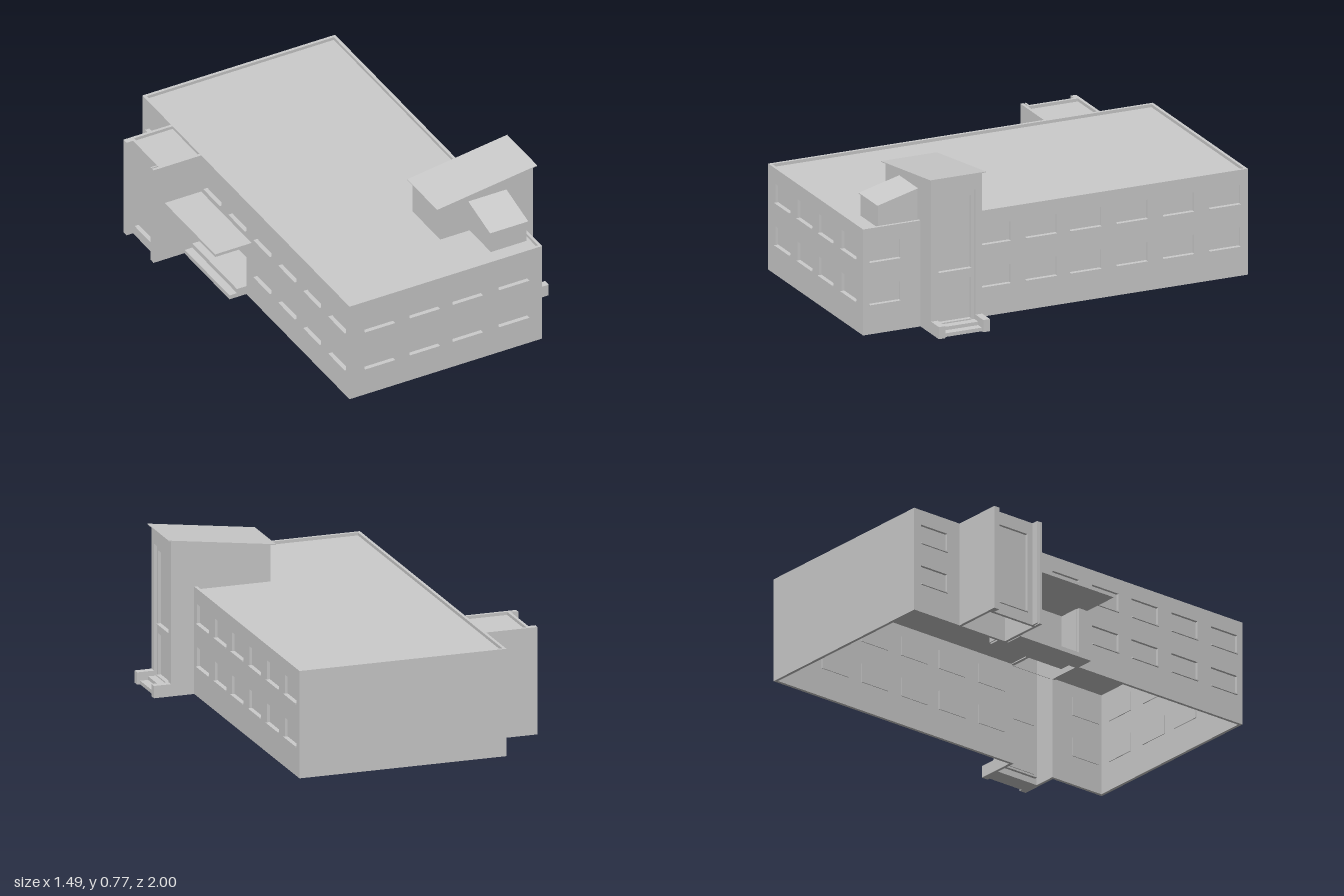
import * as THREE from 'three';

const T = 0.015; // wall thickness
const mat = new THREE.MeshStandardMaterial({ color: 0xcccccc, flatShading: true, side: THREE.DoubleSide });

const rect = (u0, u1, y0, y1) => [[u0, y0], [u1, y0], [u1, y1], [u0, y1]];
const toPath = (pts, Type) => new Type(pts.map(p => new THREE.Vector2(p[0], p[1])));

export function createModel() {
  const model = new THREE.Group();

  function add(name, geo, parent = model) {
    const m = new THREE.Mesh(geo, mat);
    m.name = name;
    parent.add(m);
    return m;
  }
  function box(name, x0, x1, y0, y1, z0, z1, parent) {
    const g = new THREE.BoxGeometry(x1 - x0, y1 - y0, z1 - z0);
    g.translate((x0 + x1) / 2, (y0 + y1) / 2, (z0 + z1) / 2);
    return add(name, g, parent);
  }
  function slab(name, pts, holes, depth, parent) {
    const s = toPath(pts, THREE.Shape);
    s.holes = holes.map(h => toPath(h, THREE.Path));
    return add(name, new THREE.ExtrudeGeometry(s, { depth, bevelEnabled: false }), parent);
  }
  // Profile in x,y drawn out along z
  function prism(name, pts, z0, z1) {
    slab(name, pts, [], z1 - z0).position.z = z0;
  }
  // Wall whose outer face lies at local z = 0, with recessed panes and sills
  function wall(name, pts, windows, openings = []) {
    const g = new THREE.Group();
    g.name = name;
    model.add(g);
    slab(name + 'Panel', pts, [...windows.map(w => rect(...w)), ...openings], T, g).position.z = -T;
    for (const [u0, u1, y0, y1] of windows) {
      box('windowPane', u0, u1, y0, y1, -T - 0.004, -T + 0.001, g);
      box('windowSill', u0, u1, y0 - 0.004, y0 + 0.002, -T, 0.008, g);
    }
    return g;
  }
  function place(g, side, at) {
    if (side === 'front') g.position.z = at;
    if (side === 'back') { g.rotation.y = Math.PI; g.position.z = at; }
    if (side === 'left') { g.rotation.y = Math.PI / 2; g.position.x = at; }
    if (side === 'right') { g.rotation.y = -Math.PI / 2; g.position.x = at; }
    return g;
  }
  const LOW = [0.145, 0.24], HIGH = [0.355, 0.45];
  const row = (centres, h) => centres.map(c => [c - 0.08, c + 0.08, ...h]);
  const X0 = -0.49, X1 = 0.54, Z0 = -1, Z1 = 0.992, H = 0.525;

  // Main block: front and plain back
  const fx = [-0.33, -0.09, 0.14, 0.387];
  place(wall('frontWall', rect(X0, X1, 0, H), [...row(fx, LOW), ...row(fx, HIGH)]), 'front', Z1);
  place(wall('backWall', rect(-X1, -X0, 0, H), []), 'back', Z0);

  // Left wall, split by the stair tower (u = -z)
  const lz = [-0.31, -0.07, 0.16, 0.4, 0.64, 0.88];
  place(wall('leftWallLong', rect(-0.43, 1, 0, H), [...row(lz, LOW), ...row(lz, HIGH)]), 'left', X1);
  place(wall('leftWallShort', rect(-Z1, -0.695, 0, H), [...row([-0.88], LOW), ...row([-0.88], HIGH)]), 'left', X1);

  // Right wall with the entrance opening (u = z)
  const E0 = -0.43, E1 = 0.0, EX = -0.36;
  place(wall('rightWall', rect(Z0, Z1, 0, H),
    [...row([-0.88, 0.16, 0.4, 0.64, 0.88], LOW), ...row([-0.88, -0.32, -0.08, 0.16, 0.4, 0.64, 0.88], HIGH)],
    [rect(E0, E1, 0.045, 0.305)]), 'right', X0);

  // Flat roof below the parapet, open under the tower
  const roof = toPath(rect(X0 + T, X1 - 0.001, -Z1 + T, -Z0 - T), THREE.Shape);
  roof.holes = [toPath(rect(0.175, X1 - 0.004, -0.68, -0.445), THREE.Path)];
  add('mainRoof', new THREE.ShapeGeometry(roof).rotateX(-Math.PI / 2)).position.y = 0.51;

  // Recessed entrance with door, steps and canopy
  box('entranceFloor', X0, EX, 0.037, 0.045, E0, E1);
  box('entranceCeiling', X0 + T, EX, 0.305, 0.312, E0, E1);
  box('entranceBack', EX - 0.008, EX, 0.045, 0.305, E0, E1);
  for (const z of [E0, E1]) box('entranceSide', X0 + T, EX, 0.045, 0.305, z - 0.004, z + 0.004);
  box('entranceDoor', EX - 0.014, EX - 0.008, 0.045, 0.25, -0.3, -0.13);
  box('upperStep', -0.54, X0, 0, 0.045, E0, E1);
  box('lowerStep', -0.58, -0.54, 0, 0.022, E0, E1);
  box('canopy', -0.685, X0, 0.305, 0.32, -0.437, 0.05);

  // Right wing: projecting side walls and a recessed glazed face
  box('wingBackWall', -0.745, X0, 0, H, -0.725, -0.71);
  box('wingFrontWall', -0.745, X0, 0, H, -0.45, -0.435);
  for (const z of [-0.7175, -0.4495]) box('wingPier', -0.745, -0.71, 0, H, z - 0.0075, z + 0.0225 - (z > -0.5 ? 0.0375 : 0));
  place(wall('wingFace', rect(-0.71, -0.45, 0, H), [[-0.665, -0.495, 0.06, 0.46]]), 'right', -0.71);
  box('wingRoof', -0.705, X0, 0.5, 0.51, -0.71, -0.45);

  // Stair tower: stepped side profile and sloping roof
  const A = 0.16, B = 0.655;
  const side = [[A, 0.505], [X1 - T, 0.505], [X1 - T, 0], [B, 0], [B, 0.758], [A, 0.69]];
  prism('towerSide', side, 0.43, 0.43 + T);
  prism('towerSide', side, 0.695 - T, 0.695);
  box('towerBack', A, A + T, 0.505, 0.69, 0.43, 0.695);
  prism('towerRoof', [[0.137, 0.689], [0.672, 0.763], [0.672, 0.767], [0.137, 0.693]], 0.418, 0.707);
  place(wall('towerFace', rect(-0.695, -0.43, 0, 0.757), [],
    [rect(-0.66, -0.465, 0.035, 0.68)]), 'left', B);
  place(wall('towerGlazing', rect(-0.67, -0.455, 0.03, 0.685),
    [[-0.65, -0.482, 0.29, 0.65], [-0.65, -0.482, 0.04, 0.245]]), 'left', B - T);

  // Tower steps between low cheek walls
  for (const z of [0.43, 0.66]) box('stepCheek', B, 0.74, 0, 0.06, z, z + 0.035);
  box('towerUpperStep', B, 0.685, 0, 0.035, 0.465, 0.66);
  box('towerLowerStep', 0.685, 0.725, 0, 0.018, 0.465, 0.66);

  // Small lean-to on the roof in front of the tower (profile u = -z)
  const leanTo = slab('roofLeanTo', [[-0.9, 0.505], [-0.695, 0.505], [-0.695, 0.672], [-0.9, 0.618]], [], 0.19);
  leanTo.rotation.y = Math.PI / 2;
  leanTo.position.x = 0.317;
  const leanRoof = slab('leanToRoof', [[-0.905, 0.617], [-0.695, 0.672], [-0.695, 0.676], [-0.905, 0.621]], [], 0.204);
  leanRoof.rotation.y = Math.PI / 2;
  leanRoof.position.x = 0.31;

  return model;
}
